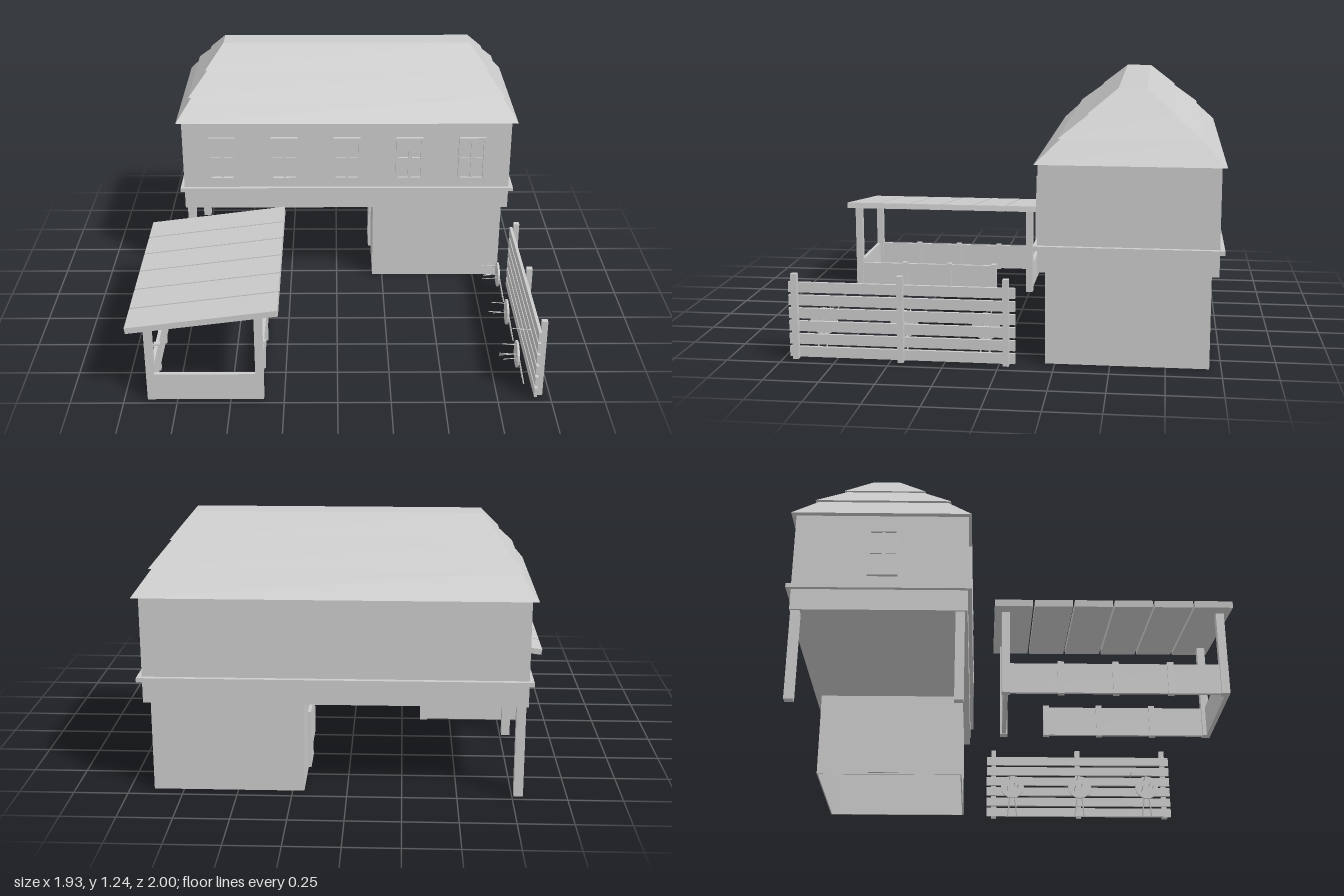
import * as THREE from 'three';

const mat = new THREE.MeshStandardMaterial({ color: 0xcccccc, flatShading: true });

function add(parent, name, geo) {
  const m = new THREE.Mesh(geo, mat);
  m.name = name;
  parent.add(m);
  return m;
}

// Box given by its extents
function box(parent, name, x0, x1, y0, y1, z0, z1) {
  const m = add(parent, name, new THREE.BoxGeometry(x1 - x0, y1 - y0, z1 - z0));
  m.position.set((x0 + x1) / 2, (y0 + y1) / 2, (z0 + z1) / 2);
  return m;
}

// Round rod between two points
function rod(parent, name, a, b, r, sides = 6) {
  const p = new THREE.Vector3(...a), q = new THREE.Vector3(...b);
  const d = q.clone().sub(p);
  const m = add(parent, name, new THREE.CylinderGeometry(r, r, d.length(), sides));
  m.position.copy(p).add(q).multiplyScalar(0.5);
  m.quaternion.setFromUnitVectors(new THREE.Vector3(0, 1, 0), d.normalize());
  return m;
}

// Hipped roof tier: rectangles [x0, x1, z0, z1] at the bottom and top heights
function tier(parent, name, y0, low, y1, high) {
  const g = new THREE.BoxGeometry(1, 1, 1);
  const p = g.attributes.position;
  for (let i = 0; i < p.count; i++) {
    const up = p.getY(i) > 0, r = up ? high : low;
    p.setXYZ(i, p.getX(i) < 0 ? r[0] : r[1], up ? y1 : y0, p.getZ(i) < 0 ? r[2] : r[3]);
  }
  g.computeVertexNormals();
  return add(parent, name, g);
}

function group(parent, name) {
  const g = new THREE.Group();
  g.name = name;
  parent.add(g);
  return g;
}

// Two-leaf window, back plane at z = 0, centred on the origin
function makeWindow(parent) {
  const w = group(parent, 'window');
  const W = 0.071, H = 0.119, t = 0.012, d = 0.018;
  box(w, 'windowPane', -W, W, -H, H, -0.002, 0.004);
  for (const s of [-1, 1]) {
    const a = s * (W - t / 2), b = s * (H - t / 2);
    box(w, 'frameSide', a - t / 2, a + t / 2, -H, H, 0, d);
    box(w, 'frameRail', -W, W, b - t / 2, b + t / 2, 0, d);
    const c = s * W / 2;
    box(w, 'glazingBar', c - W / 2 + t, c + W / 2 - t / 2, -0.005, 0.005, 0, 0.012);
  }
  box(w, 'centreBar', -0.007, 0.007, -H, H, 0, 0.015);
  return w;
}

function makeHouse(root) {
  const h = group(root, 'house');
  box(h, 'upperStorey', -0.81, 0.915, 0.437, 0.94, -0.978, -0.172);
  box(h, 'trimBand', -0.83, 0.938, 0.54, 0.56, -1.0, -0.153);

  // Three stacked roof tiers
  tier(h, 'lowerRoof', 0.928, [-0.838, 0.946, -1.0, -0.157], 1.037, [-0.757, 0.865, -0.885, -0.272]);
  tier(h, 'middleRoof', 1.035, [-0.775, 0.882, -0.9, -0.257], 1.141, [-0.68, 0.79, -0.762, -0.395]);
  tier(h, 'upperRoof', 1.139, [-0.694, 0.804, -0.775, -0.383], 1.247, [-0.603, 0.712, -0.645, -0.517]);

  // Windows along the front and one on the right-hand end
  for (let i = 0; i < 5; i++) makeWindow(h).position.set(-0.604 + i * 0.329, 0.728, -0.172);
  const end = makeWindow(h);
  end.position.set(-0.81, 0.728, -0.565);
  end.rotation.y = -Math.PI / 2;

  // Ground room, hollow and open underneath
  const x0 = 0.196, x1 = 0.887, z0 = -0.946, z1 = -0.206, t = 0.006;
  box(h, 'roomWall', x0, x1, 0.005, 0.437, z1 - t, z1);
  box(h, 'roomWall', x0, x1, 0.005, 0.437, z0, z0 + t);
  box(h, 'roomWall', x0, x0 + t, 0.005, 0.437, z0 + t, z1 - t);
  box(h, 'roomWall', x1 - t, x1, 0.005, 0.437, z0 + t, z1 - t);
  box(h, 'door', x0 - 0.014, x0 + 0.01, 0.01, 0.29, -0.685, -0.53);

  for (const z of [-0.953, -0.205]) box(h, 'housePost', -0.8, -0.758, 0.005, 0.44, z - 0.021, z + 0.021);
}

function makeShed(root) {
  const s = group(root, 'shed');
  // Sloping plank roof
  const tilt = Math.atan2(0.091, 0.695);
  for (let i = 0; i < 6; i++) {
    const z = 0.0345 + i * 0.1762;
    const plank = add(s, 'roofPlank', new THREE.BoxGeometry(0.702, 0.03, 0.168));
    plank.position.set(-0.62, 0.442, z);
    plank.rotation.z = tilt;
  }
  // Corner posts
  for (const z of [0, 0.955]) {
    box(s, 'shedPost', -0.89, -0.853, 0.005, 0.4, z - 0.018, z + 0.018);
    box(s, 'shedPost', -0.383, -0.345, 0.005, 0.465, z - 0.018, z + 0.018);
  }
  // Low walls, with a gap left in the inner side for an entrance
  const top = 0.145;
  box(s, 'frontWall', -0.888, -0.347, 0.007, top, 0.955, 0.974);
  box(s, 'backWall', -0.888, -0.347, 0.007, top, -0.01, 0.01);
  box(s, 'outerWall', -0.88, -0.864, 0.007, top, 0, 0.955);
  box(s, 'innerWall', -0.372, -0.356, 0.007, top, 0.19, 0.955);
  for (const z of [0.24, 0.48, 0.72]) box(s, 'wallStud', -0.887, -0.857, 0.003, top + 0.008, z - 0.014, z + 0.014);
  for (const z of [0.2, 0.45, 0.7]) box(s, 'wallStud', -0.379, -0.349, 0.003, top + 0.008, z - 0.014, z + 0.014);
}

function makeFence(root) {
  const f = group(root, 'fence');
  for (let i = 0; i < 6; i++) {
    const y = 0.012 + i * 0.061;
    box(f, 'fenceRail', 0.921, 0.936, y, y + 0.048, -0.075, 0.97);
  }
  for (const z of [-0.035, 0.447, 0.936]) box(f, 'fencePost', 0.935, 0.963, 0.008, 0.41, z - 0.014, z + 0.014);
}

// Practice targets on splayed legs, with arrows stuck in the faces
function makeTargets(root) {
  const hits = [[0.2, -0.015], [0.165, 0.01], [0.138, -0.03], [0.155, 0.03]];
  [0.07, 0.45, 0.83].forEach((z, n) => {
    const t = group(root, 'archeryTarget');
    t.position.z = z;
    const disc = add(t, 'targetDisc', new THREE.CylinderGeometry(0.065, 0.065, 0.01, 16));
    disc.position.set(0.85, 0.16, 0);
    disc.rotation.z = Math.PI / 2;
    for (const s of [-1, 1]) rod(t, 'targetLeg', [0.853, 0.18, s * 0.004], [0.889, 0.006, s * 0.026], 0.004);
    hits.slice(0, 4 - n % 2).forEach(([y, dz], i) => {
      rod(t, 'arrow', [0.765 + 0.008 * ((i + n) % 3), y + 0.006 * (i % 2 ? -1 : 1), dz], [0.85, y, dz], 0.002, 5);
    });
  });
  rod(root, 'strayArrow', [0.835, 0.247, 0.745], [0.925, 0.24, 0.745], 0.002, 5);
}

export function createModel() {
  const root = new THREE.Group();
  root.name = 'houseWithYard';
  makeHouse(root);
  makeShed(root);
  makeFence(root);
  makeTargets(root);
  return root;
}
